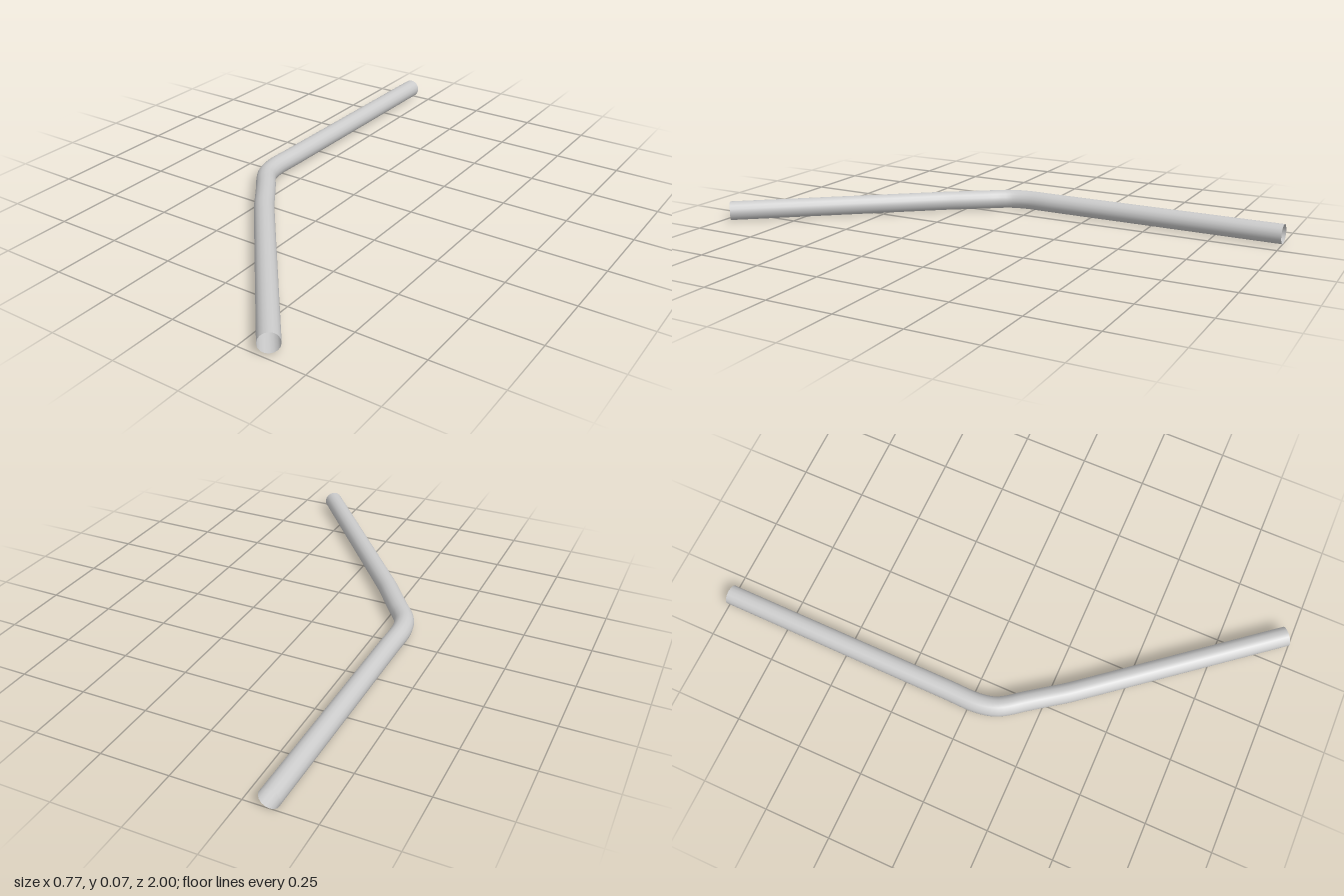
import * as THREE from 'three';

const RADIUS = 0.037;

// Centreline in plan (x, z): long straight, rounded bend, slight jog, long straight
const PATH = [
  [-0.341, -1], [-0.345, -0.5], [-0.348, -0.1], [-0.349, 0.03],
  [-0.335, 0.095], [-0.312, 0.135], [-0.279, 0.178], [-0.222, 0.257],
  [-0.182, 0.313], [-0.13, 0.378], [0.1, 0.663], [0.353, 0.976],
];

export function createModel() {
  const group = new THREE.Group();
  group.name = 'bentPipe';

  const curve = new THREE.CatmullRomCurve3(
    PATH.map(([x, z]) => new THREE.Vector3(x, RADIUS, z)), false, 'centripetal');
  curve.arcLengthDivisions = 800;

  // Hollow tube with open ends
  const pipe = new THREE.Mesh(
    new THREE.TubeGeometry(curve, 120, RADIUS, 16, false),
    new THREE.MeshStandardMaterial({ color: 0xcccccc, side: THREE.DoubleSide }));
  pipe.name = 'pipe';
  group.add(pipe);

  return group;
}
